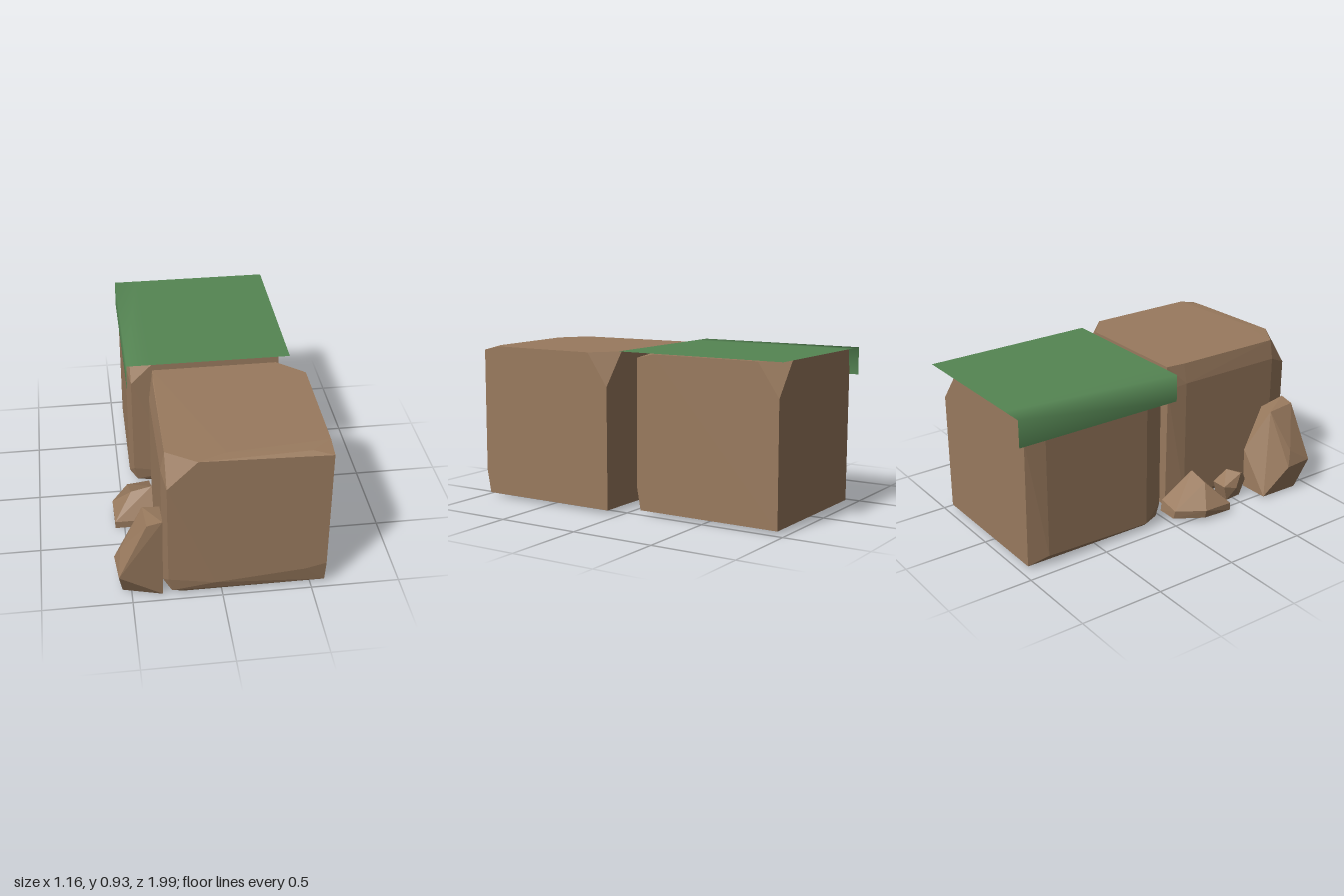
import * as THREE from 'three';
import { ConvexGeometry } from 'three/addons/geometries/ConvexGeometry.js';

const stone = new THREE.MeshStandardMaterial({ color: 0x997a5e });
stone.name = 'brown stone';
const moss = new THREE.MeshStandardMaterial({ color: 0x558553, side: THREE.DoubleSide });
moss.name = 'moss green';

// Faceted rock wrapped around a few corner points
function rock(name, points) {
  const geometry = new ConvexGeometry(points.map((p) => new THREE.Vector3(...p)));
  const mesh = new THREE.Mesh(geometry, stone);
  mesh.name = name;
  return mesh;
}

// Sheet with a side profile in x,y, stretched along z
function sheet(name, profile, z0, z1) {
  const positions = [];
  const index = [];
  profile.forEach(([x, y], i) => {
    positions.push(x, y, z0, x, y, z1);
    if (i > 0) {
      const a = 2 * i - 2;
      index.push(a, a + 1, a + 2, a + 1, a + 3, a + 2);
    }
  });
  const geometry = new THREE.BufferGeometry();
  geometry.setAttribute('position', new THREE.Float32BufferAttribute(positions, 3));
  geometry.setIndex(index);
  geometry.computeVertexNormals();
  const mesh = new THREE.Mesh(geometry, moss);
  mesh.name = name;
  return mesh;
}

export function createModel() {
  const model = new THREE.Group();
  model.name = 'rockLedge';

  // Two copies of one chipped stone block
  const block = [
    // back right corner, with the top chipped off
    [0.43, 0.92, 0.08], [0.58, 0.92, 0.21], [0.58, 0.73, 0.08], [0.58, 0.02, 0.08],
    // front right edge
    [0.58, 0.92, 0.87], [0.58, 0.895, 0.98], [0.58, 0.16, 0.985], [0.58, 0.02, 0.96],
    // front top and bottom edges
    [0.47, 0.915, 0.95], [0.46, 0.13, 0.985], [0.27, 0.02, 0.95], [0.02, 0.92, 0.92],
    [0.01, 0.905, 0.98], [-0.04, 0.085, 0.985], [-0.2, 0.02, 0.96], [-0.135, 0.915, 0.98],
    // front left edge
    [-0.3, 0.75, 0.98], [-0.3, 0.13, 0.98], [-0.28, 0.04, 0.97],
    [-0.3, 0.915, 0.87], [-0.322, 0.8, 0.87], [-0.322, 0.04, 0.87], [-0.3, 0.02, 0.87],
    // back left edge
    [-0.29, 0.92, 0.08], [-0.297, 0.917, 0.2], [-0.322, 0.8, 0.2],
    [-0.3, 0.78, 0.08], [-0.322, 0.06, 0.2], [-0.29, 0.02, 0.08],
  ];
  const frontBlock = rock('frontBlock', block);
  const backBlock = rock('backBlock', block);
  backBlock.position.set(-0.107, 0, -1.035);
  model.add(frontBlock, backBlock);

  // Green cover over the back block, hanging down on one side
  model.add(sheet('mossCover',
    [[0.52, 0.93], [0.1, 0.93], [-0.3, 0.93], [-0.434, 0.93], [-0.436, 0.77]].reverse(), -1, 0.038));

  // Loose rubble along the right side
  model.add(rock('tallShard', [
    [-0.57, 0.18, 0.992], [-0.585, 0.18, 0.81], [-0.55, 0.27, 0.85], [-0.545, 0.01, 0.65],
    [-0.36, 0.01, 0.645], [-0.55, 0.01, 0.9], [-0.33, 0.01, 0.96], [-0.41, 0.51, 0.97],
    [-0.325, 0.53, 0.97], [-0.42, 0.5, 0.79], [-0.325, 0.5, 0.8], [-0.34, 0.25, 0.66],
  ]));
  model.add(rock('smallStone', [
    [-0.44, 0.1, 0.42], [-0.34, 0.1, 0.42], [-0.46, 0.08, 0.5], [-0.44, 0.16, 0.55],
    [-0.36, 0.17, 0.5], [-0.37, 0.06, 0.65], [-0.33, 0.08, 0.67],
    [-0.43, 0.0, 0.45], [-0.33, 0.0, 0.45], [-0.42, 0.0, 0.56], [-0.33, 0.0, 0.64],
  ]));
  model.add(rock('flatStone', [
    [-0.46, 0.07, 0.025], [-0.325, 0.09, 0.03], [-0.45, 0.02, 0.02], [-0.325, 0.02, 0.02],
    [-0.56, 0.07, 0.18], [-0.55, 0.02, 0.18], [-0.555, 0.06, 0.37], [-0.555, 0.015, 0.37],
    [-0.325, 0.015, 0.37], [-0.325, 0.06, 0.37], [-0.45, 0.19, 0.255], [-0.325, 0.22, 0.255],
  ]));

  return model;
}
